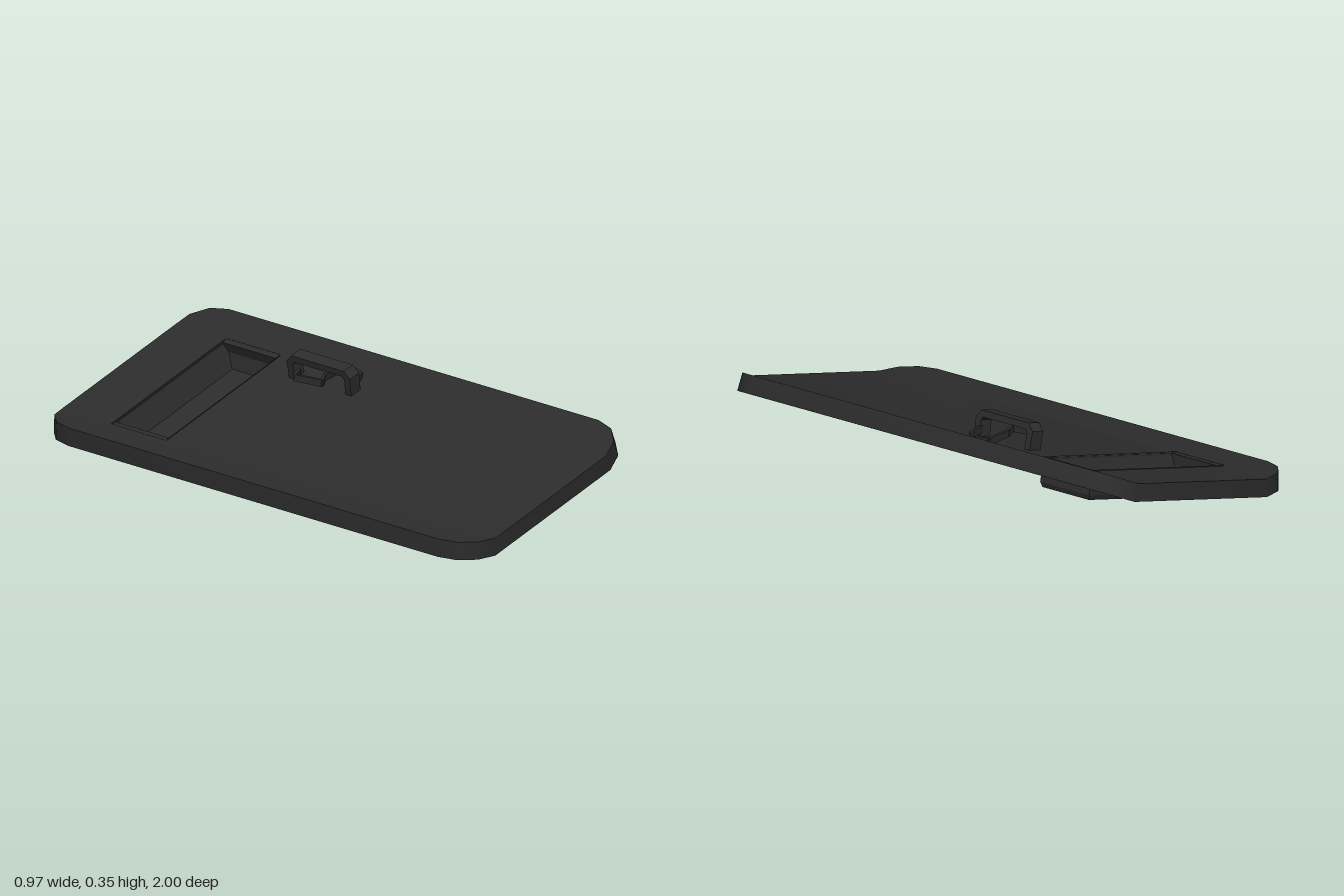
import * as THREE from 'three';
import { mergeGeometries, toCreasedNormals } from 'three/addons/utils/BufferGeometryUtils.js';

const BEND = 0.335, FLANGE = 0.155, HALF = 0.992, CORNER = 0.145;
const WINDOW_Z = -0.635;

// Extrude an outline drawn in (x, -z), then fold its sides up along the two bends.
function foldedSlab(shape) {
  const g = new THREE.ExtrudeGeometry(shape, { depth: 1, bevelEnabled: false });
  g.rotateX(-Math.PI / 2);
  const p = g.attributes.position;
  for (let i = 0; i < p.count; i++) {
    const x = p.getX(i), h = p.getY(i), a = Math.abs(x);
    const t = Math.max(0, a - BEND) / FLANGE;
    const bendX = THREE.MathUtils.lerp(0.343, 0.328, h);
    p.setX(i, Math.sign(x) * (Math.min(a, BEND) / BEND * bendX + t * 0.149));
    p.setY(i, -0.067 * (1 - h) + 0.0325 * t);
  }
  return g;
}

function rectangle(Type, hx, y0, y1) {
  return new Type([[-hx, y0], [hx, y0], [hx, y1], [-hx, y1]].map(q => new THREE.Vector2(...q)));
}

// Flat centre with the window opening, plus two flanges with rounded corners.
function panelGeometry() {
  const centre = rectangle(THREE.Shape, BEND, -HALF, HALF);
  centre.holes.push(rectangle(THREE.Path, 0.325, -WINDOW_Z - 0.12, -WINDOW_Z + 0.12));
  const parts = [foldedSlab(centre)];
  for (const s of [-1, 1]) {
    const pts = [new THREE.Vector2(s * BEND, -HALF)];
    for (const e of [-1, 1]) {
      for (let i = 0; i <= 3; i++) {
        const a = (e < 0 ? i : 3 - i) * Math.PI / 6;
        if (i === (e < 0 ? 0 : 3)) continue;
        pts.push(new THREE.Vector2(s * (BEND + FLANGE * Math.sin(a)),
          e * (HALF - CORNER + CORNER * Math.cos(a))));
      }
    }
    pts.push(new THREE.Vector2(s * BEND, HALF));
    parts.push(foldedSlab(new THREE.Shape(pts)));
  }
  return toCreasedNormals(mergeGeometries(parts), 0.6);
}

// Loft rectangular rings [halfX, halfZ, y], capping both ends.
function trayGeometry(rings) {
  const pos = [], idx = [];
  for (const [hx, hz, y] of rings) {
    pos.push(-hx, y, -hz, -hx, y, hz, hx, y, hz, hx, y, -hz);
  }
  for (let r = 0; r < rings.length - 1; r++) {
    for (let k = 0; k < 4; k++) {
      const a = r * 4 + k, b = r * 4 + (k + 1) % 4;
      idx.push(a, a + 4, b, b, a + 4, b + 4);
    }
  }
  const n = (rings.length - 1) * 4;
  idx.push(0, 1, 2, 0, 2, 3, n, n + 2, n + 1, n, n + 3, n + 2);
  const g = new THREE.BufferGeometry();
  g.setAttribute('position', new THREE.Float32BufferAttribute(pos, 3));
  g.setIndex(idx);
  const flat = g.toNonIndexed();
  flat.computeVertexNormals();
  return flat;
}

export function createModel() {
  const model = new THREE.Group();
  model.name = 'shield';
  const black = new THREE.MeshStandardMaterial({ color: 0x2c2c2c, side: THREE.DoubleSide });
  black.name = 'charcoal black';
  const body = new THREE.Group();
  body.name = 'shieldBody';
  model.add(body);
  const add = (parent, geometry, name) => {
    const m = new THREE.Mesh(geometry, black);
    m.name = name;
    parent.add(m);
    return m;
  };

  add(body, panelGeometry(), 'panel');

  // Tapered viewing window: recessed inside, standing proud outside
  const tray = trayGeometry([
    [0.307, 0.082, -0.095], [0.343, 0.125, 0.004], [0.341, 0.125, -0.067],
    [0.341, 0.125, -0.09], [0.332, 0.119, -0.108], [0.315, 0.106, -0.108], [0.312, 0.104, -0.1],
  ]);
  add(body, tray, 'windowFrame').position.z = WINDOW_Z;

  // Arched grip
  const outer = [[-0.142, -0.01], [-0.145, 0.07], [-0.12, 0.097]];
  const inner = [[-0.115, -0.01], [-0.118, 0.06], [-0.108, 0.072]];
  const mirrored = list => list.map(([z, y]) => [-z, y]).reverse();
  const arch = new THREE.Shape([...outer, ...mirrored(outer), ...inner.map(([z, y]) => [-z, y]),
    ...inner.slice().reverse()].map(q => new THREE.Vector2(...q)));
  const grip = new THREE.ExtrudeGeometry(arch, { depth: 0.055, bevelEnabled: false });
  grip.translate(0, 0, -0.0275).rotateY(Math.PI / 2);
  add(body, grip, 'handle').position.set(0.26, 0, -0.245);

  // Angular strap around the foot of the handle
  const strap = new THREE.Group();
  strap.name = 'handleStrap';
  strap.position.set(0.272, 0.028, -0.235);
  strap.rotation.z = -0.216;
  body.add(strap);
  const path = [[-0.04, -0.1], [-0.095, -0.08], [-0.075, 0.03], [-0.02, 0],
    [0.095, -0.02], [0.1, 0.04], [0.085, 0.085], [-0.01, 0.115]];
  for (let i = 0; i < path.length - 1; i++) {
    const [x0, z0] = path[i], [x1, z1] = path[i + 1];
    const link = add(strap, new THREE.BoxGeometry(Math.hypot(x1 - x0, z1 - z0), 0.026, 0.012), 'strapLink');
    link.position.set((x0 + x1) / 2, 0, (z0 + z1) / 2);
    link.rotation.y = -Math.atan2(z1 - z0, x1 - x0);
  }

  // Lay the shield down, tipped to one side and slightly nose-down
  const zAxis = new THREE.Vector3(-0.007, -0.04, 1).normalize();
  const xAxis = new THREE.Vector3(0.977, 0.214, 0.0154).normalize();
  const yAxis = zAxis.clone().cross(xAxis).normalize();
  body.quaternion.setFromRotationMatrix(new THREE.Matrix4().makeBasis(xAxis, yAxis, zAxis));
  body.position.set(-0.01, 0.179, 0);
  return model;
}
